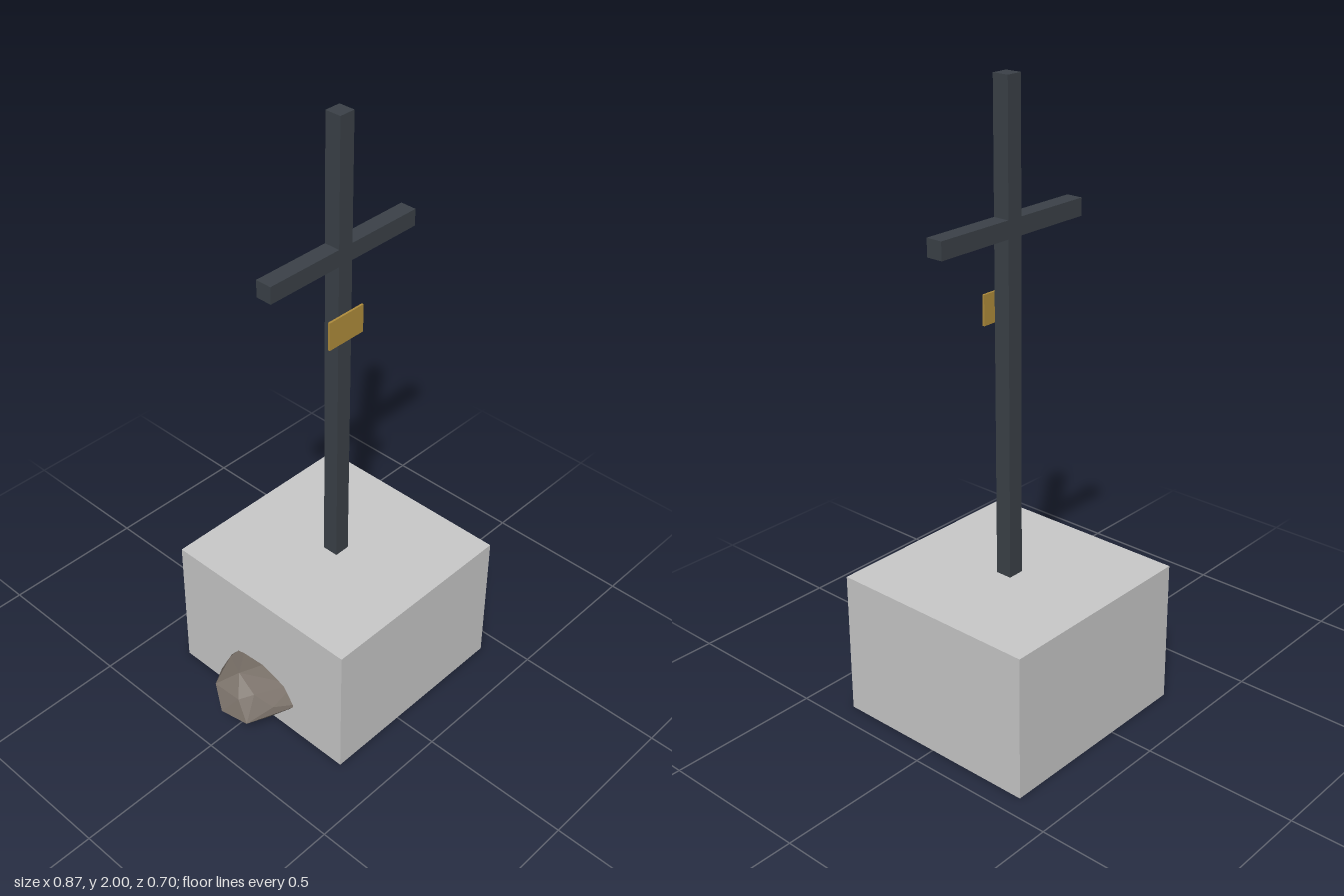
import * as THREE from 'three';
import { ConvexGeometry } from 'three/addons/geometries/ConvexGeometry.js';

const material = (name, color) => {
  const m = new THREE.MeshStandardMaterial({ color });
  m.name = name;
  return m;
};

export function createModel() {
  const group = new THREE.Group();
  group.name = 'memorialCross';

  const stone = material('paleStone', 0xc9c9c9);
  const iron = material('darkIron', 0x3b4148);
  const brass = material('brass', 0xb08d3c);
  const rockGrey = material('rockBrown', 0x7a7169);

  const add = (name, geometry, mat) => {
    const mesh = new THREE.Mesh(geometry, mat);
    mesh.name = name;
    group.add(mesh);
    return mesh;
  };
  // Box given by its extents on each axis
  const box = (name, mat, [x0, x1], [y0, y1], [z0, z1]) =>
    add(name, new THREE.BoxGeometry(x1 - x0, y1 - y0, z1 - z0), mat)
      .position.set((x0 + x1) / 2, (y0 + y1) / 2, (z0 + z1) / 2);

  // Plinth, cross and plaque
  box('plinth', stone, [-0.272, 0.432], [0, 0.472], [-0.353, 0.352]);
  box('post', iron, [0.053, 0.107], [0.47, 2], [-0.029, 0.025]);
  box('crossbar', iron, [-0.214, 0.374], [1.545, 1.6], [-0.029, 0.025]);
  box('plaque', brass, [0.01, 0.151], [1.288, 1.382], [0.025, 0.032]);

  // Faceted rock, partly sunk into the side of the plinth
  const corners = [
    [-0.435, 0.1, -0.013], [-0.405, 0.16, -0.07], [-0.405, 0.165, 0.035],
    [-0.415, 0.095, 0.08], [-0.352, 0.209, -0.015], [-0.365, 0.178, 0.065],
    [-0.305, 0.185, -0.105], [-0.325, 0.125, -0.128], [-0.33, 0.13, 0.114],
    [-0.4, 0.053, -0.03], [-0.39, 0.052, 0.05], [-0.32, 0.05, -0.09],
    [-0.32, 0.05, 0.08], [-0.24, 0.2, 0.02], [-0.24, 0.19, -0.1],
    [-0.24, 0.17, 0.12], [-0.24, 0.11, -0.165], [-0.24, 0.11, 0.16],
    [-0.24, 0.05, -0.1], [-0.24, 0.05, 0.1],
  ].map((p) => new THREE.Vector3(...p));
  add('rock', new ConvexGeometry(corners), rockGrey);

  return group;
}
